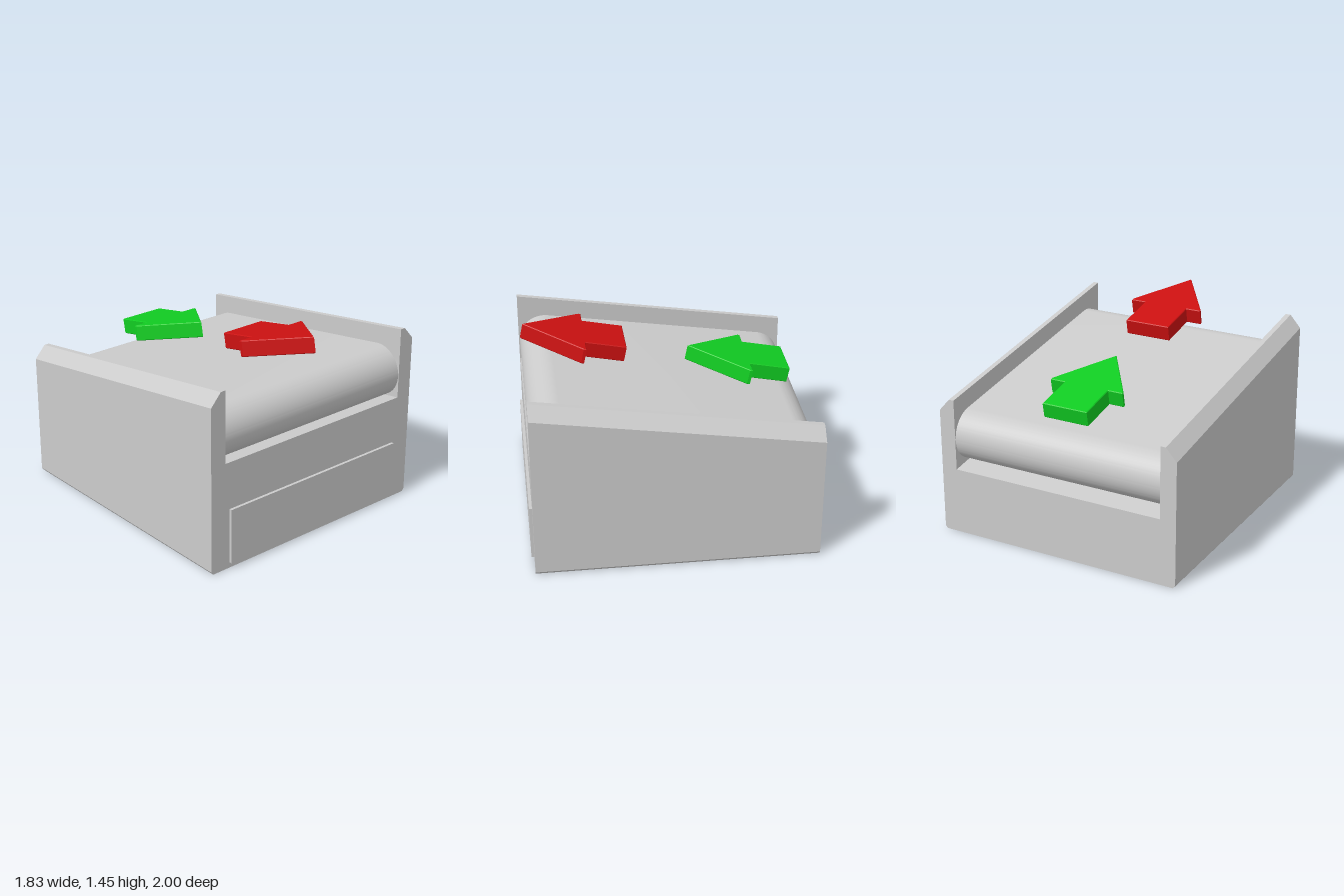
import * as THREE from 'three';
import { toCreasedNormals } from 'three/addons/utils/BufferGeometryUtils.js';

const SLOPE = 0.1515; // rise of the conveyor per unit of z
const FRONT = 0.98, BACK = -1;

function addMesh(group, name, geometry, color = 0xcccccc) {
  const mesh = new THREE.Mesh(geometry, new THREE.MeshStandardMaterial({ color }));
  mesh.name = name;
  group.add(mesh);
  return mesh;
}

function polygon(points) {
  return new THREE.Shape(points.map(([x, y]) => new THREE.Vector2(x, y)));
}

// U-shaped section swept front to back, its upper edges sheared down to the rear
function housingGeometry() {
  const half = [[0.9, 0], [0.915, 0.02], [0.915, 1.205], [0.835, 1.295], [0.797, 1.295], [0.797, 0.78]];
  const mirrored = half.map(([x, y]) => [-x, y]).reverse();
  const geo = new THREE.ExtrudeGeometry(polygon([...half, ...mirrored]), { depth: FRONT - BACK, bevelEnabled: false });
  geo.translate(0, 0, BACK);
  const p = geo.attributes.position;
  for (let i = 0; i < p.count; i++) {
    if (p.getY(i) > 0.1) p.setY(i, p.getY(i) + (p.getZ(i) - FRONT) * SLOPE);
  }
  return toCreasedNormals(geo, 0.2);
}

// Inclined belt loop around a front and a rear roller
function beltGeometry() {
  const r = 0.188, a = Math.atan(SLOPE);
  const z0 = 0.975 - r, z1 = -0.995 + r, y0 = 0.942;
  const y1 = y0 - (z0 - z1) * SLOPE;
  const shape = new THREE.Shape();
  shape.absarc(z0, y0, r, a - Math.PI / 2, a + Math.PI / 2, false);
  shape.absarc(z1, y1, r, a + Math.PI / 2, a + Math.PI * 1.5, false);
  const geo = new THREE.ExtrudeGeometry(shape, { depth: 1.6, bevelEnabled: false, curveSegments: 32 });
  geo.rotateY(-Math.PI / 2);
  geo.translate(0.8, 0, 0);
  return toCreasedNormals(geo, 0.6);
}

// Arrow with its tip at the origin, pointing to +z and tilted upward
function arrowGeometry() {
  const half = [[0.17, -0.72], [0.17, -0.43], [0.28, -0.43], [0.278, -0.41]];
  const mirrored = half.map(([x, y]) => [-x, y]).reverse();
  const b = 0.005;
  const geo = new THREE.ExtrudeGeometry(polygon([...half, [0, 0], ...mirrored]), {
    depth: 0.112 - 2 * b, bevelThickness: b, bevelSize: b, bevelOffset: -b, bevelSegments: 1,
  });
  geo.translate(0, 0, b);
  geo.rotateX(Math.PI / 2);
  geo.rotateX(-Math.atan(0.2));
  return geo;
}

export function createModel() {
  const model = new THREE.Group();
  model.name = 'conveyor';

  addMesh(model, 'housing', housingGeometry());
  addMesh(model, 'belt', beltGeometry());

  // Raised plate on the front
  addMesh(model, 'frontPanel', new THREE.BoxGeometry(1.52, 0.4, 0.04)).position.set(0, 0.24, 0.98);

  // Direction arrows hovering over the belt
  const arrow = arrowGeometry();
  addMesh(model, 'frontArrow', arrow, 0xcc1111).position.set(-0.025, 1.45, 0.965);
  addMesh(model, 'rearArrow', arrow, 0x11cc22).position.set(-0.025, 1.21, -0.19);

  return model;
}
